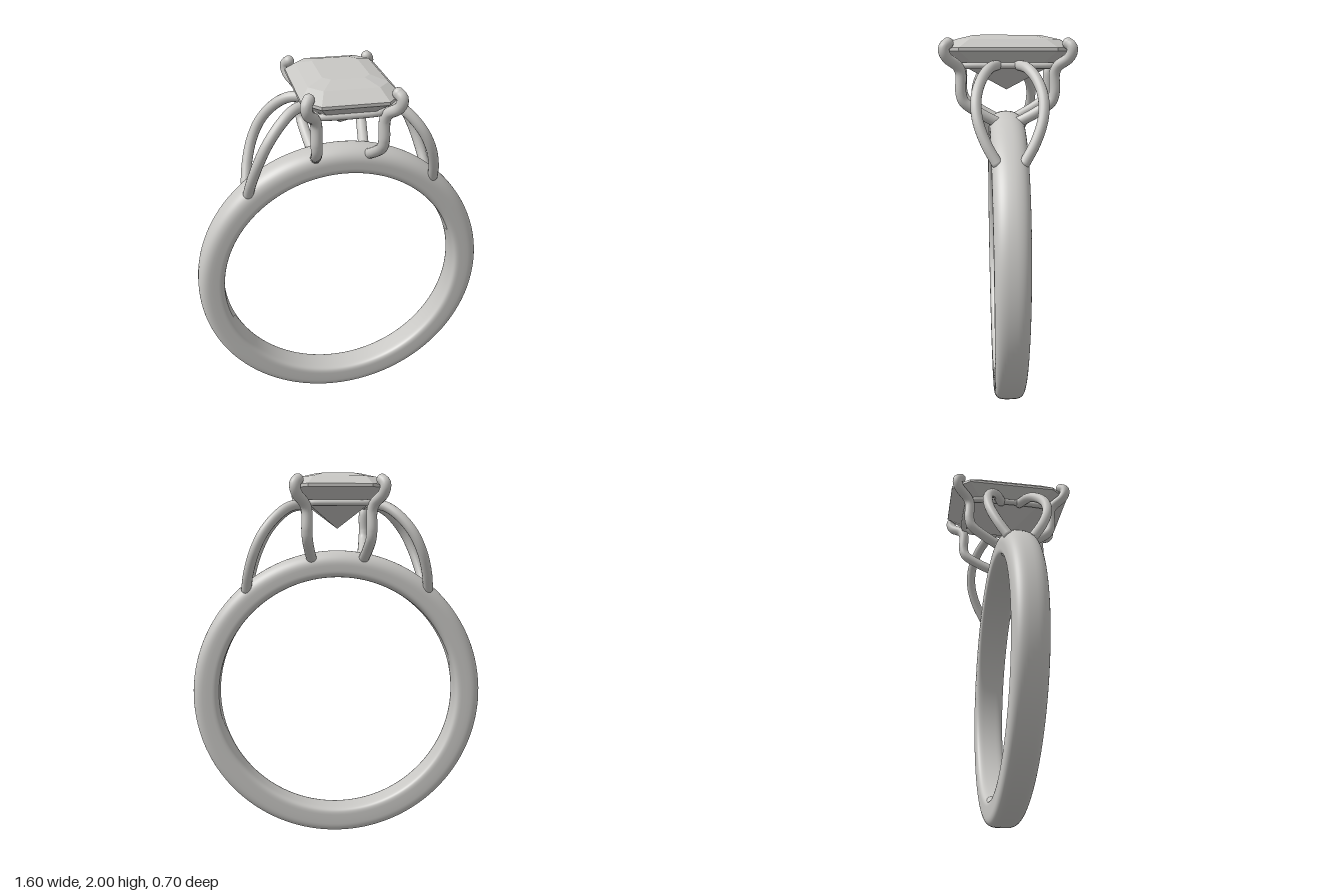
import * as THREE from 'three';

const silver = new THREE.MeshStandardMaterial({ color: 0xc8c7c4 });
silver.name = 'silver grey';

function add(parent, geometry, name) {
  const mesh = new THREE.Mesh(geometry, silver);
  mesh.name = name;
  parent.add(mesh);
  return mesh;
}

// Round wire through points, with rounded ends
function wire(points, radius, name, closed = false) {
  const group = new THREE.Group();
  group.name = name;
  const path = points.map((p) => new THREE.Vector3(...p));
  const curve = new THREE.CatmullRomCurve3(path, closed, 'centripetal');
  add(group, new THREE.TubeGeometry(curve, 56, radius, 16, closed), name + 'Wire');
  if (!closed) {
    for (const p of [path[0], path[path.length - 1]]) {
      add(group, new THREE.SphereGeometry(radius, 16, 12), name + 'End').position.copy(p);
    }
  }
  return group;
}

// Band whose section is domed at the top and flatter and narrower at the bottom
function bandGeometry() {
  const around = 128, section = 48, mid = 0.725;
  const positions = [], index = [];
  const power = (v, e) => Math.sign(v) * Math.abs(v) ** e;
  for (let i = 0; i < around; i++) {
    const t = (i / around) * Math.PI * 2;
    const up = (Math.cos(t) + 1) / 2;
    const width = 0.08 + 0.013 * up;
    for (let j = 0; j < section; j++) {
      const a = (j / section) * Math.PI * 2;
      const c = Math.cos(a), s = Math.sin(a);
      const e = c > 0 ? 2 / (3.6 - 1.4 * up) : 2 / 5;
      const r = mid + power(c, e) * (c > 0 ? 0.077 : 0.066);
      positions.push(r * Math.sin(t), 0.802 + r * Math.cos(t), width * power(s, e));
      const i2 = (i + 1) % around, j2 = (j + 1) % section;
      const p = i * section + j, q = i * section + j2;
      const u = i2 * section + j, v = i2 * section + j2;
      index.push(p, q, u, q, v, u);
    }
  }
  const geometry = new THREE.BufferGeometry();
  geometry.setAttribute('position', new THREE.Float32BufferAttribute(positions, 3));
  geometry.setIndex(index);
  geometry.computeVertexNormals();
  return geometry;
}

// Step-cut stone: stacked octagons closed by a flat table and a point
function gemGeometry() {
  const octagon = ([x, z, cx, cz, y]) => [
    [x, y, z - cz], [x, y, cz - z], [x - cx, y, -z], [cx - x, y, -z],
    [-x, y, cz - z], [-x, y, z - cz], [cx - x, y, z], [x - cx, y, z],
  ];
  const levels = [
    [0, 0, 0, 0, 1.72],
    [0.17, 0.245, 0.055, 0.07, 1.855],
    [0.238, 0.347, 0.08, 0.1, 1.92],
    [0.238, 0.347, 0.08, 0.1, 1.935],
    [0.192, 0.262, 0.06, 0.07, 1.978],
    [0.115, 0.172, 0.035, 0.04, 2.0],
    [0, 0, 0, 0, 2.0],
  ].map(octagon);
  const positions = [];
  for (let k = 0; k < levels.length - 1; k++) {
    const low = levels[k], high = levels[k + 1];
    for (let i = 0; i < 8; i++) {
      const n = (i + 1) % 8;
      if (k > 0) positions.push(...low[i], ...low[n], ...high[i]);
      if (k < levels.length - 2) positions.push(...low[n], ...high[n], ...high[i]);
    }
  }
  const geometry = new THREE.BufferGeometry();
  geometry.setAttribute('position', new THREE.Float32BufferAttribute(positions, 3));
  geometry.computeVertexNormals();
  return geometry;
}

export function createModel() {
  const ring = new THREE.Group();
  ring.name = 'ring';
  add(ring, bandGeometry(), 'band');
  add(ring, gemGeometry(), 'gem');

  for (const sx of [1, -1]) {
    for (const sz of [1, -1]) {
      const mirror = (points) => points.map(([x, y, z]) => [x * sx, y, z * sz]);

      // Claw prong from the band to the stone corner
      ring.add(wire(mirror([
        [0.14, 1.56, 0.06], [0.153, 1.61, 0.15], [0.163, 1.665, 0.225],
        [0.166, 1.71, 0.24], [0.166, 1.81, 0.24], [0.178, 1.845, 0.255],
        [0.212, 1.885, 0.305], [0.223, 1.915, 0.32], [0.222, 1.94, 0.318],
        [0.208, 1.957, 0.3],
      ]), 0.028, 'prong'));

      // Arched shoulder from the band to the basket
      ring.add(wire(mirror([
        [0.493, 1.4, 0.068], [0.475, 1.49, 0.118], [0.44, 1.6, 0.157],
        [0.39, 1.7, 0.162], [0.32, 1.785, 0.135], [0.25, 1.835, 0.095],
        [0.17, 1.85, 0.055],
      ]), 0.027, 'shoulderArch'));
    }
  }

  // Basket rail joining the prongs under the stone
  const rail = [];
  for (const [sx, sz] of [[1, 1], [1, -1], [-1, -1], [-1, 1]]) {
    const corner = [[0.168 * sx, 1.847, 0.2 * sz], [0.155 * sx, 1.847, 0.235 * sz], [0.13 * sx, 1.847, 0.245 * sz]];
    rail.push(...(sx * sz > 0 ? corner.reverse() : corner));
  }
  ring.add(wire(rail, 0.016, 'basketRail', true));
  return ring;
}
